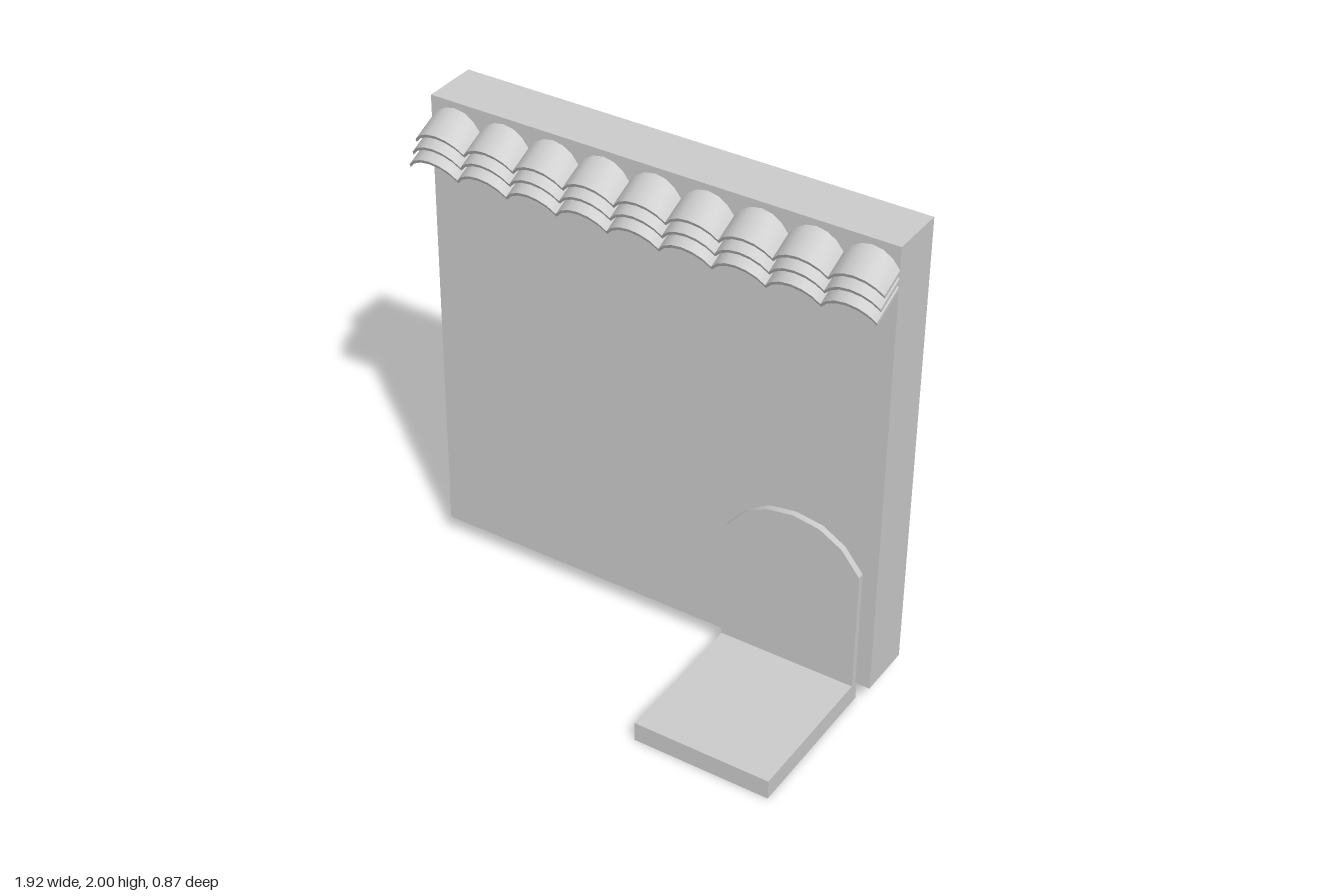
import * as THREE from 'three';
import { toCreasedNormals } from 'three/addons/utils/BufferGeometryUtils.js';

const material = new THREE.MeshStandardMaterial({ color: 0xcccccc });

function addMesh(parent, name, geometry, x, y, z) {
  const mesh = new THREE.Mesh(geometry, material);
  mesh.name = name;
  mesh.position.set(x, y, z);
  parent.add(mesh);
  return mesh;
}

// Curved roof tile: a thin arch, apex of its front end at the origin, running back along -z
function tileGeometry(width, rise, thickness, length) {
  const half = width / 2;
  const radius = (half * half + rise * rise) / (2 * rise);
  const spread = Math.asin(half / radius);
  const steps = 6;
  const outer = [];
  for (let i = 0; i <= steps; i++) {
    const a = -spread + (2 * spread * i) / steps;
    outer.push(new THREE.Vector2(radius * Math.sin(a), radius * (Math.cos(a) - 1)));
  }
  const inner = outer.map((p) => new THREE.Vector2(p.x, p.y - thickness)).reverse();
  const geometry = new THREE.ExtrudeGeometry(new THREE.Shape([...outer, ...inner]), {
    depth: length, bevelEnabled: false,
  });
  geometry.translate(0, 0, -length);
  return toCreasedNormals(geometry, 0.6);
}

export function createModel() {
  const model = new THREE.Group();
  model.name = 'wallWithDoor';

  // Wall slab
  addMesh(model, 'wall', new THREE.BoxGeometry(1.92, 1.92, 0.23), 0, 1.04, -0.317);

  // Door step
  addMesh(model, 'doorStep', new THREE.BoxGeometry(0.566, 0.082, 0.646), 0.617, 0.041, 0.112);

  // Arched door, outline mirrored about its centre
  const side = [[0.283, 0.08], [0.283, 0.597], [0.206, 0.692], [0.111, 0.747]];
  const outline = [...side, [0, 0.764], ...side.map(([x, y]) => [-x, y]).reverse()];
  const doorShape = new THREE.Shape(outline.map(([x, y]) => new THREE.Vector2(x, y)));
  const door = new THREE.ExtrudeGeometry(doorShape, { depth: 0.035, bevelEnabled: false });
  addMesh(model, 'door', toCreasedNormals(door, 0.6), 0.617, 0, -0.21);

  // Canopy: three overlapping layers of nine tiles, sloping down and forward
  const canopy = new THREE.Group();
  canopy.name = 'tileCanopy';
  model.add(canopy);
  const columns = 9;
  const pitch = 1.92 / columns;
  const tile = tileGeometry(pitch, 0.06, 0.015, 0.19);
  const layers = [[1.92, -0.075], [1.878, -0.054], [1.836, -0.033]];
  layers.forEach(([y, z], row) => {
    for (let i = 0; i < columns; i++) {
      const x = (i - (columns - 1) / 2) * pitch;
      addMesh(canopy, `roofTile${row + 1}_${i + 1}`, tile, x, y, z).rotation.x = 0.41;
    }
  });

  return model;
}
